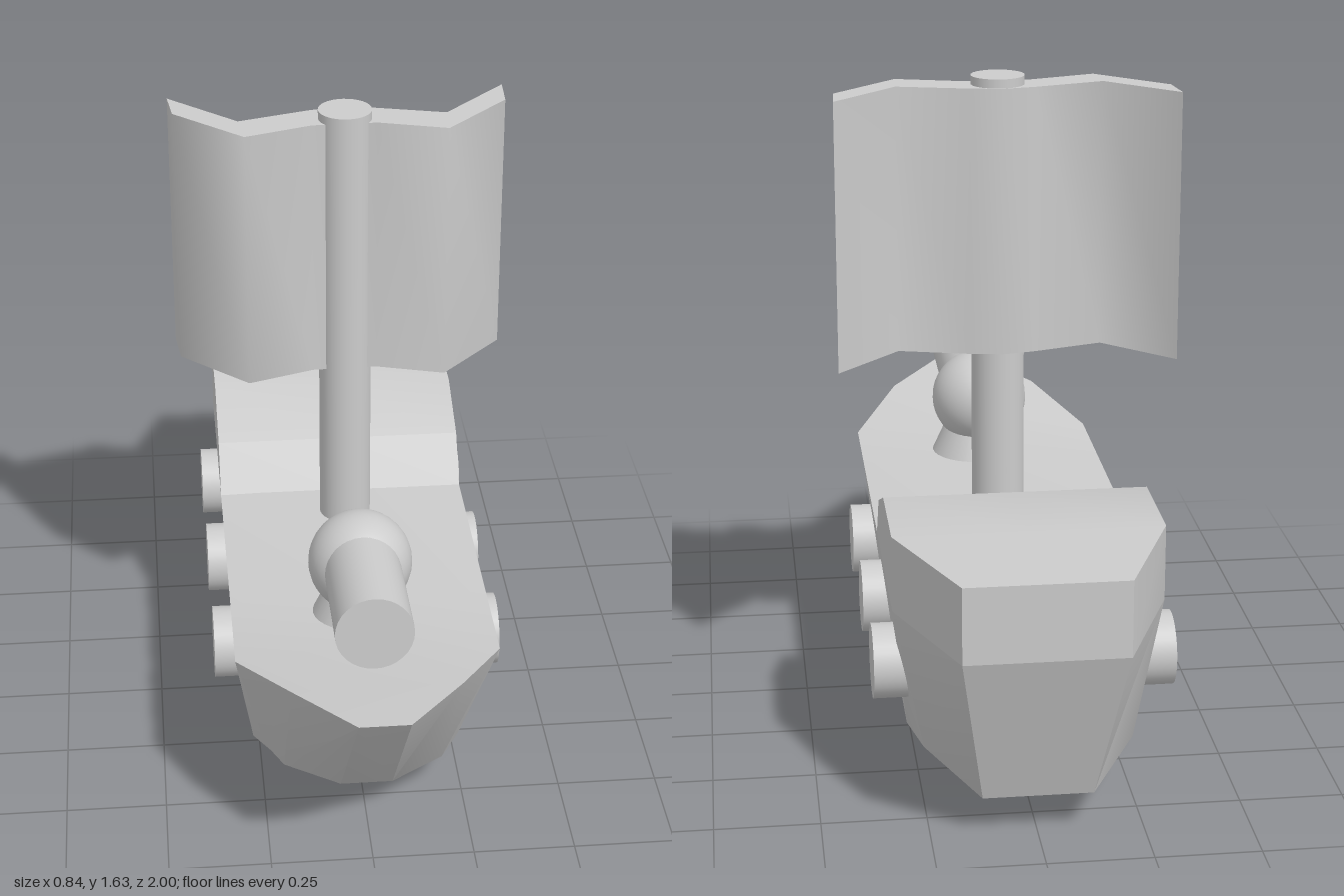
import * as THREE from 'three';
import { toCreasedNormals } from 'three/addons/utils/BufferGeometryUtils.js';

const material = new THREE.MeshStandardMaterial({ color: 0xcccccc });

function add(parent, name, geometry, x = 0, y = 0, z = 0) {
  const mesh = new THREE.Mesh(geometry, material);
  mesh.name = name;
  mesh.position.set(x, y, z);
  parent.add(mesh);
  return mesh;
}

// Skin mirrored cross-sections, bow to stern, and cap both ends.
// Each section starts at top centre and runs down the right side, up the left.
function loft(rows, crease) {
  const n = rows[0].length;
  const positions = [];
  const tri = (a, b, c) => {
    const area = new THREE.Triangle(
      new THREE.Vector3(...a), new THREE.Vector3(...b), new THREE.Vector3(...c)).getArea();
    if (area > 1e-7) positions.push(...a, ...b, ...c);
  };
  const quad = (a, b, c, d) => {
    tri(a, b, c);
    tri(a, c, d);
  };
  for (let i = 0; i < rows.length - 1; i++) {
    for (let j = 0; j < n; j++) {
      const k = (j + 1) % n;
      quad(rows[i][j], rows[i + 1][j], rows[i + 1][k], rows[i][k]);
    }
  }
  // End caps: horizontal strips between mirrored points
  const bow = rows[0], stern = rows[rows.length - 1];
  tri(bow[0], bow[1], bow[n - 1]);
  tri(stern[0], stern[n - 1], stern[1]);
  for (let j = 1; j < (n - 1) / 2; j++) {
    quad(bow[j], bow[j + 1], bow[n - j - 1], bow[n - j]);
    quad(stern[n - j], stern[n - j - 1], stern[j + 1], stern[j]);
  }
  const geometry = new THREE.BufferGeometry();
  geometry.setAttribute('position', new THREE.Float32BufferAttribute(positions, 3));
  return toCreasedNormals(geometry, crease);
}

// Section from a top centre height and the points of the left side, top down
function section(centre, side) {
  const right = side.map(([x, y, z]) => [-x, y, z]);
  return [[0, centre, side[0][2]], ...right, ...side.slice().reverse()];
}

// Hull stations from bow to stern: deck centre height, deck edge, chine, keel edge
function hullGeometry() {
  const front = [0.19, 0, 0.35], back = [0.19, 0, -0.42];
  const stations = [
    [0.585, [0.06, 0.585, 1.0], [0.065, 0.1, 0.58], front],
    [0.564, [0.2, 0.562, 0.82], [0.2, 0.1, 0.49], front],
    [0.535, [0.32, 0.5, 0.6], [0.245, 0.13, 0.44], front],
    [0.505, [0.32, 0.5, 0.35], [0.27, 0.09, 0.35], front],
    [0.5, [0.32, 0.5, -0.42], [0.27, 0.09, -0.42], back],
    [0.5, [0.32, 0.5, -0.68], [0.25, 0.15, -0.68], back],
    [0.5, [0.19, 0.5, -1.0], [0.13, 0.1, -0.86], back],
  ];
  return loft(stations.map(([centre, ...side]) => section(centre, side)), 0.6);
}

// Raised stern deck: z, half width, top height
function sternGeometry() {
  const stations = [
    [-0.17, 0.32, 0.5], [-0.25, 0.32, 0.615], [-0.42, 0.32, 0.685],
    [-0.68, 0.32, 0.685], [-1, 0.19, 0.685],
  ];
  return loft(stations.map(([z, w, top]) => section(top, [[w, top, z], [w, 0.5, z]])), 0.5);
}

// Sail: bent plan outline extruded upwards
function sailGeometry() {
  const front = [[0.418, -0.24], [0.41, -0.14], [0.247, 0.023], [0.08, -0.03]];
  const back = [[0, -0.14], [0.08, -0.125], [0.255, -0.075]];
  const flip = (list) => list.map(([x, z]) => [-x, z]);
  const outline = [
    ...front, ...flip(front).reverse(),
    ...flip(back).reverse(), ...back.slice(1),
  ];
  const shape = new THREE.Shape(outline.map(([x, z]) => new THREE.Vector2(x, -z)));
  const geometry = new THREE.ExtrudeGeometry(shape, { depth: 0.667, bevelEnabled: false });
  geometry.rotateX(-Math.PI / 2);
  return toCreasedNormals(geometry, 1.15);
}

export function createModel() {
  const ship = new THREE.Group();
  ship.name = 'ship';

  add(ship, 'hull', hullGeometry());
  add(ship, 'sternDeck', sternGeometry());

  // Mast and slightly turned sail
  add(ship, 'mast', new THREE.CylinderGeometry(0.066, 0.066, 1.145, 32), 0.003, 1.0625, -0.07);
  add(ship, 'sail', sailGeometry(), 0, 0.946, 0).rotation.y = 0.025;

  // Side gun ports
  for (const side of [1, -1]) {
    for (const z of [0.25, -0.15, -0.55]) {
      const port = add(ship, 'gunPort',
        new THREE.CylinderGeometry(0.09, 0.09, 0.12, 32), side * 0.302, 0.32, z);
      port.rotation.z = Math.PI / 2;
    }
  }

  // Bow cannon
  const cannon = new THREE.Group();
  cannon.name = 'cannon';
  ship.add(cannon);
  add(cannon, 'pedestal', new THREE.CylinderGeometry(0.075, 0.125, 0.11, 32), 0, 0.555, 0.425);
  add(cannon, 'ball', new THREE.SphereGeometry(0.127, 32, 20), -0.003, 0.655, 0.42);
  const barrel = add(cannon, 'barrel',
    new THREE.CylinderGeometry(0.093, 0.093, 0.36, 32), -0.003, 0.677, 0.605);
  barrel.rotation.x = Math.PI / 2 - 0.06;

  return ship;
}
